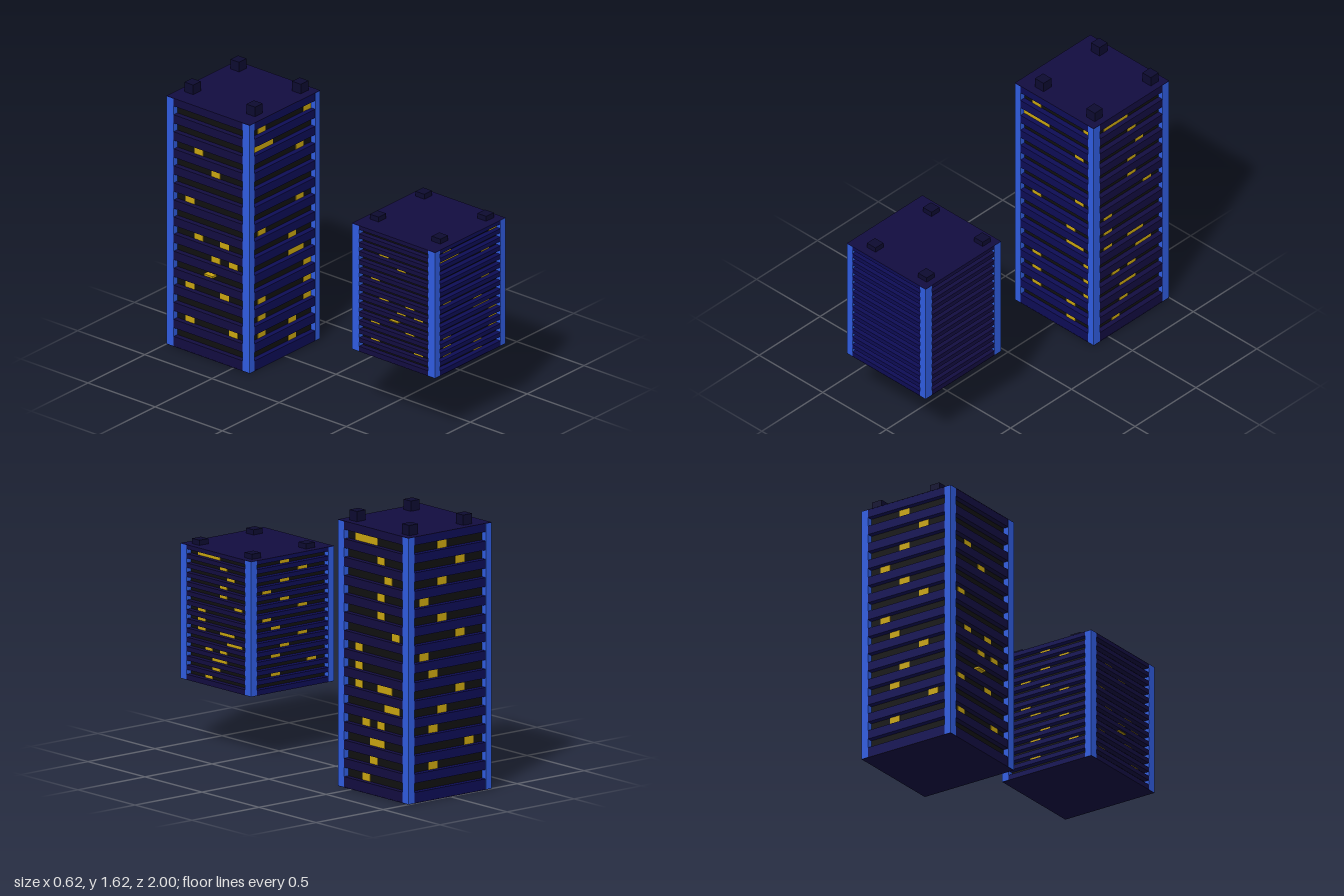
import * as THREE from 'three';

const HALF = 0.31, HEIGHT = 1.555, FLOORS = 14, PITCH = 0.1068, BAND = 0.054;
const POST_X = 0.043, POST_Z = 0.053, RECESS = 0.034;

const mat = (color) => new THREE.MeshStandardMaterial({ color });
const postMat = mat(0x2f5ce0), slabMat = mat(0x120c40), trimMat = mat(0x0d0c55);
const glassMat = mat(0x101010), litMat = mat(0xc9a510), roofBoxMat = mat(0x0c0a30);

// Lit windows as [row from the top, first column, number of columns]
const FRONT = [[0, 1, 1], [0, 7, 1], [1, 0, 3], [2, 6, 1], [5, 6, 1], [6, 1, 1], [7, 5, 1],
  [8, 5, 2], [9, 7, 1], [10, 1, 1], [10, 7, 1], [11, 1, 1], [11, 7, 1], [12, 1, 1], [12, 5, 1], [13, 5, 1]];
const RIGHT = [[0, 1, 3], [1, 4, 1], [2, 5, 1], [3, 4, 1], [4, 4, 1], [5, 6, 1], [6, 1, 1], [7, 1, 1],
  [8, 1, 1], [8, 4, 2], [9, 5, 2], [10, 2, 1], [10, 4, 1], [11, 3, 2], [12, 3, 1], [13, 2, 1]];
const BACK = [[0, 3, 1], [1, 5, 1], [2, 3, 1], [3, 1, 1], [4, 3, 1], [5, 5, 1], [6, 1, 1],
  [7, 2, 1], [8, 5, 1], [9, 3, 1], [10, 2, 1], [11, 6, 1], [12, 2, 1]];
const LEFT = [[2, 2, 1], [3, 4, 1], [5, 1, 1], [7, 2, 1], [7, 5, 1], [8, 4, 1], [8, 6, 1],
  [10, 1, 1], [10, 5, 1], [12, 1, 1], [12, 6, 1]];

function box(parent, name, material, size, pos) {
  const m = new THREE.Mesh(new THREE.BoxGeometry(...size), material);
  m.name = name;
  m.position.set(...pos);
  parent.add(m);
  return m;
}

const rowY = (row) => 0.09 + PITCH * (FLOORS - 1 - row);

// Windows of one face, laid out left to right as seen from outside
function litWindows(parent, name, list, angle, width) {
  const face = new THREE.Group();
  face.name = name;
  const cell = width / 8;
  for (const [row, col, span] of list) {
    box(face, 'litWindow', litMat, [cell * span, BAND, 0.006],
      [-width / 2 + cell * (col + span / 2), rowY(row), HALF - RECESS]);
  }
  face.rotation.y = angle;
  parent.add(face);
}

function tower(name) {
  const g = new THREE.Group();
  g.name = name;
  const innerX = 2 * (HALF - POST_X), innerZ = 2 * (HALF - POST_Z);
  const core = 2 * (HALF - RECESS);

  // Dark glass core behind the floor bands
  box(g, 'glassCore', glassMat, [core, HEIGHT - 0.02, core], [0, HEIGHT / 2, 0]);

  // Floor bands: a cross of two boxes reaching between the corner posts
  for (let i = 0; i <= FLOORS; i++) {
    const low = i === 0 ? 0.002 : rowY(FLOORS - i) + BAND / 2;
    const high = i === FLOORS ? HEIGHT - 0.002 : rowY(FLOORS - 1 - i) - BAND / 2;
    const h = high - low, y = (high + low) / 2;
    box(g, 'sideFloorBand', slabMat, [2 * HALF - 0.002, h, innerZ], [0, y, 0]);
    box(g, 'frontBackFloorBand', trimMat, [innerX, h, 2 * HALF - 0.002], [0, y, 0]);
  }

  // Corner posts and roof boxes
  for (const sx of [-1, 1]) {
    for (const sz of [-1, 1]) {
      box(g, 'cornerPost', postMat, [POST_X, HEIGHT - 0.004, POST_Z],
        [sx * (HALF - POST_X / 2), HEIGHT / 2, sz * (HALF - POST_Z / 2)]);
      box(g, 'roofBox', roofBoxMat, [0.067, 0.07, 0.065],
        [sx < 0 ? -0.168 : 0.235, HEIGHT + 0.025, sz < 0 ? -0.235 : 0.225]);
    }
  }

  // Thin roof and base plates
  box(g, 'roof', slabMat, [2 * HALF, 0.003, 2 * HALF], [0, HEIGHT - 0.0015, 0]);
  box(g, 'base', slabMat, [2 * HALF, 0.003, 2 * HALF], [0, 0.0015, 0]);

  litWindows(g, 'frontWindows', FRONT, 0, innerX);
  litWindows(g, 'rightWindows', RIGHT, Math.PI / 2, innerZ);
  litWindows(g, 'backWindows', BACK, Math.PI, innerX);
  litWindows(g, 'leftWindows', LEFT, -Math.PI / 2, innerZ);

  // One window panel lying flat, reaching out to the face
  box(g, 'flatWindow', litMat, [0.067, 0.012, 0.065], [-HALF + 0.034, rowY(9), 0]);
  return g;
}

export function createModel() {
  const model = new THREE.Group();
  model.name = 'twoTowers';

  const tall = tower('tallTower');
  tall.position.z = -0.69;
  model.add(tall);

  // The short tower is the same design squashed and raised
  const short = tower('shortTower');
  short.scale.y = 0.507;
  short.position.set(0, 0.383, 0.69);
  model.add(short);
  return model;
}
